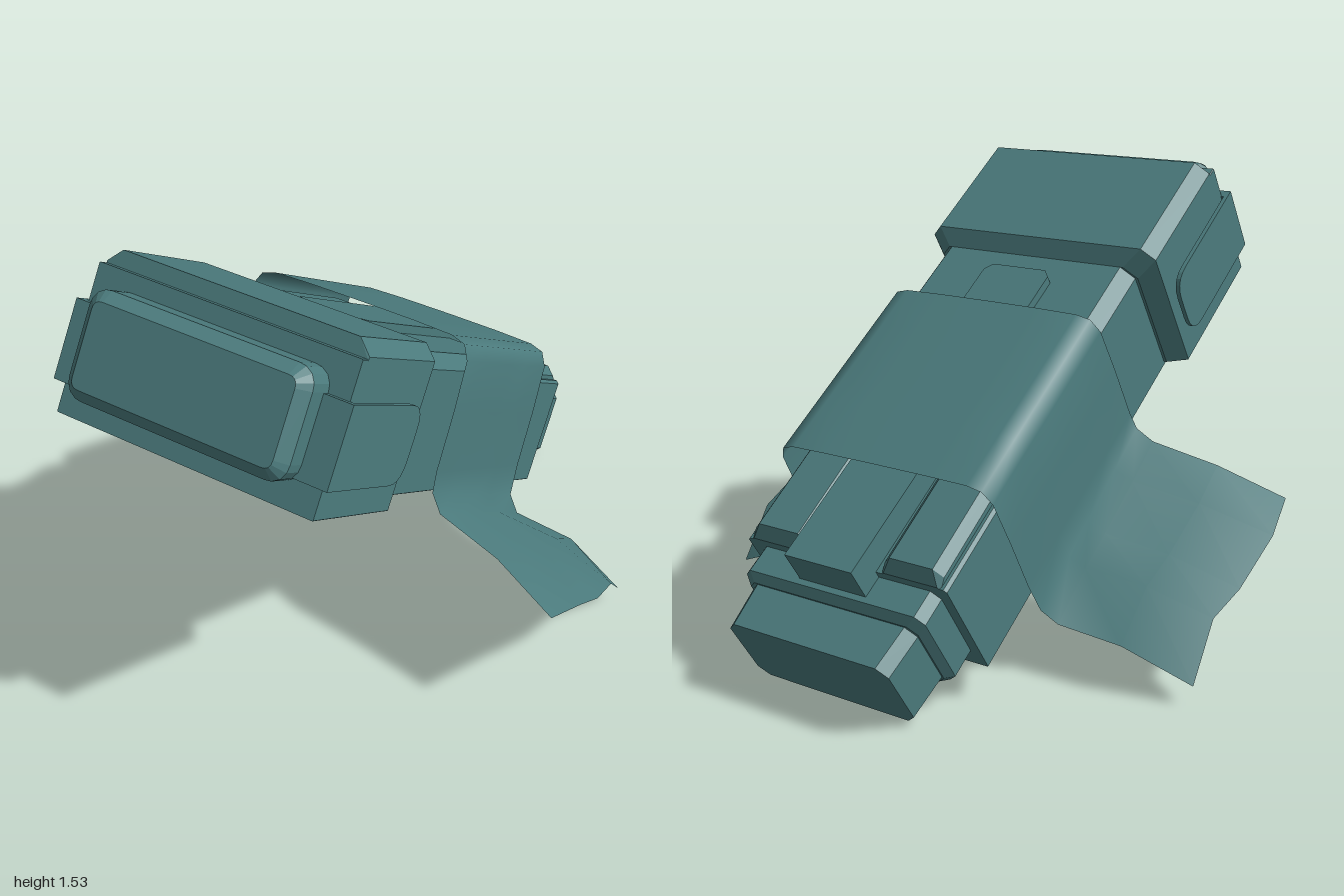
import * as THREE from 'three';

const teal = new THREE.MeshStandardMaterial({ color: 0x4c7c7e, side: THREE.DoubleSide });
teal.name = 'teal';

// Closed flat-shaded hull through sections [z, halfWidth, bottom, top, topChamfer, bottomChamfer]
function hull(sections, x = 0) {
  const rings = sections.map(([z, h, b, t, c, d = 0.002]) => [
    [-h + d, b], [h - d, b], [h, b + d], [h, t - c], [h - c, t], [-h + c, t], [-h, t - c], [-h, b + d],
  ].map(([px, py]) => [px + x, py, z]));
  const pos = [];
  const tri = (a, b, c) => pos.push(...a, ...b, ...c);
  for (let i = 0; i < rings.length - 1; i++) {
    const p = rings[i], q = rings[i + 1];
    for (let k = 0; k < 8; k++) {
      const n = (k + 1) % 8;
      tri(p[k], p[n], q[n]);
      tri(p[k], q[n], q[k]);
    }
  }
  const first = rings[0], last = rings[rings.length - 1];
  for (let k = 1; k < 7; k++) {
    tri(first[0], first[k + 1], first[k]);
    tri(last[0], last[k], last[k + 1]);
  }
  const g = new THREE.BufferGeometry();
  g.setAttribute('position', new THREE.Float32BufferAttribute(pos, 3));
  g.computeVertexNormals();
  return g;
}

// Rectangle with its own radius at the left, right-bottom and right-top corners
function roundedRect(x0, y0, x1, y1, rLeft, rBottom, rTop) {
  const s = new THREE.Shape();
  s.moveTo(x0 + rLeft, y0);
  s.lineTo(x1 - rBottom, y0);
  if (rBottom) s.quadraticCurveTo(x1, y0, x1, y0 + rBottom);
  s.lineTo(x1, y1 - rTop);
  if (rTop) s.quadraticCurveTo(x1, y1, x1 - rTop, y1);
  s.lineTo(x0 + rLeft, y1);
  if (rLeft) s.quadraticCurveTo(x0, y1, x0, y1 - rLeft);
  s.lineTo(x0, y0 + rLeft);
  if (rLeft) s.quadraticCurveTo(x0, y0, x0 + rLeft, y0);
  return s;
}

// Band wrapped over the body, flaring into a wavy wing at each side
function wrapSheet() {
  const half = [[0, 0.938], [0.2, 0.937], [0.34, 0.933], [0.39, 0.918], [0.415, 0.87], [0.422, 0.7],
    [0.424, 0.5], [0.432, 0.43], [0.48, 0.375], [0.71, 0.312], [0.94, 0.205]];
  const stations = [1, 0.765, 0.478, 0.286, 0];
  const waveV = [0, 0.033, 0.025, 0.057, 0.005];
  const tipX = { 1: [-0.005, 0.02, 0.01, 0, -0.025], '-1': [-0.01, 0.025, 0, -0.02, -0.005] };
  const last = half.length - 1;
  const pos = [], idx = [];
  const cols = last * 2 + 1;
  stations.forEach((t, s) => {
    for (let k = -last; k <= last; k++) {
      const j = Math.abs(k), side = k < 0 ? -1 : 1;
      const out = Math.max(0, (j - 7) / 3);
      const low = THREE.MathUtils.clamp((0.93 - half[j][1]) / 0.5, 0, 1);
      const front = 0.6 - 0.024 * low, back = -0.136 - 0.036 * low - 0.02 * out * out;
      const x = half[j][0] + tipX[side][s] * out * out;
      const sag = j >= 7 && j < 9 ? -0.045 * (1 - t) : 0;
      pos.push(side * x, half[j][1] + waveV[s] * out * out + sag, back + (front - back) * t);
    }
  });
  for (let s = 0; s < stations.length - 1; s++) {
    for (let k = 0; k < cols - 1; k++) {
      const a = s * cols + k, b = a + cols;
      idx.push(a, a + 1, b, a + 1, b + 1, b);
    }
  }
  // stations run front to back, so reverse the corners to face outward
  for (let i = 0; i < idx.length; i += 3) {
    const v = new THREE.Vector3().fromArray(pos, idx[i] * 3);
    const e1 = new THREE.Vector3().fromArray(pos, idx[i + 1] * 3).sub(v);
    const e2 = new THREE.Vector3().fromArray(pos, idx[i + 2] * 3).sub(v);
    if (e1.cross(e2).dot(new THREE.Vector3(Math.sign(v.x) * 0.5, 1, 0)) < 0) {
      [idx[i + 1], idx[i + 2]] = [idx[i + 2], idx[i + 1]];
    }
  }
  const g = new THREE.BufferGeometry();
  g.setAttribute('position', new THREE.Float32BufferAttribute(pos, 3));
  g.setIndex(idx);
  g.computeVertexNormals();
  return g;
}

export function createModel() {
  const model = new THREE.Group();
  model.name = 'model';
  // Everything is built along z, then the nose is tipped upward
  const hullGroup = new THREE.Group();
  hullGroup.name = 'tiltedAssembly';
  hullGroup.rotation.x = -Math.atan2(0.555, 0.832);
  hullGroup.position.x = 0.003;
  model.add(hullGroup);
  const add = (name, geometry) => {
    const m = new THREE.Mesh(geometry, teal);
    m.name = name;
    hullGroup.add(m);
    return m;
  };

  // Body and raised front deck
  add('body', hull([[-0.428, 0.39, 0.418, 0.81, 0.01], [0.93, 0.39, 0.418, 0.825, 0.01]]));
  add('frontDeck', hull([[0.1, 0.39, 0.6, 0.875, 0.045], [0.93, 0.39, 0.6, 0.875, 0.045]]));

  // Rear pads on both sides of the strap
  for (const s of [-1, 1]) {
    add('rearPad', hull([[-0.428, 0.11, 0.7, 0.815, 0.01], [-0.395, 0.11, 0.7, 0.855, 0.03],
      [0.1, 0.11, 0.7, 0.865, 0.03]], s * 0.26));
  }

  // Head with tapered rear and stepped front edge
  add('head', hull([[0.888, 0.4, 0.43, 0.875, 0.045], [0.94, 0.455, 0.4, 0.918, 0.045],
    [1.385, 0.455, 0.4, 0.918, 0.045], [1.387, 0.455, 0.4, 0.866, 0.003],
    [1.42, 0.455, 0.4, 0.866, 0.003]]));

  // Front panel with bevelled rim
  const panel = new THREE.ExtrudeGeometry(roundedRect(-0.348, 0.512, 0.348, 0.775, 0.03, 0.03, 0.03), {
    depth: 0.09, bevelThickness: 0.035, bevelSize: 0.036, bevelSegments: 1, curveSegments: 4,
  });
  panel.translate(0, 0, 1.42);
  add('frontPanel', panel);

  // Clip passing behind the panel, with a thin plate along each side of the head
  const bar = new THREE.BoxGeometry(0.96, 0.25, 0.03);
  bar.translate(0, 0.62, 1.43);
  add('clipBar', bar);
  for (const s of [-1, 1]) {
    const plate = new THREE.ExtrudeGeometry(roundedRect(-1.445, 0.495, -0.975, 0.745, 0, 0.08, 0.08), {
      depth: 0.015, bevelEnabled: false, curveSegments: 5,
    });
    plate.rotateY(Math.PI / 2);
    plate.translate(s > 0 ? 0.466 : -0.481, 0, 0);
    add('sidePlate', plate);
  }

  // Long strap under the band, rounded at the front end
  const strapShape = new THREE.Shape([[-0.13, -0.505], [0.13, -0.505], [0.13, 0.775], [0.105, 0.803],
    [-0.105, 0.803], [-0.13, 0.775]].map(([x, y]) => new THREE.Vector2(x, y)));
  const strap = new THREE.ExtrudeGeometry(strapShape, { depth: 0.147, bevelEnabled: false });
  strap.rotateX(Math.PI / 2);
  strap.translate(0, 0.904, 0);
  add('strap', strap);

  // Stepped tail
  add('tailCollar', hull([[-0.55, 0.33, 0.475, 0.76, 0.03, 0.03], [-0.525, 0.352, 0.46, 0.785, 0.03, 0.03],
    [-0.42, 0.352, 0.46, 0.785, 0.03, 0.03]]));
  add('tailBlock', hull([[-0.702, 0.312, 0.474, 0.752, 0.035, 0.035], [-0.54, 0.325, 0.474, 0.755, 0.035, 0.035]]));

  // Band and wings
  add('bandAndWings', wrapSheet());
  return model;
}
